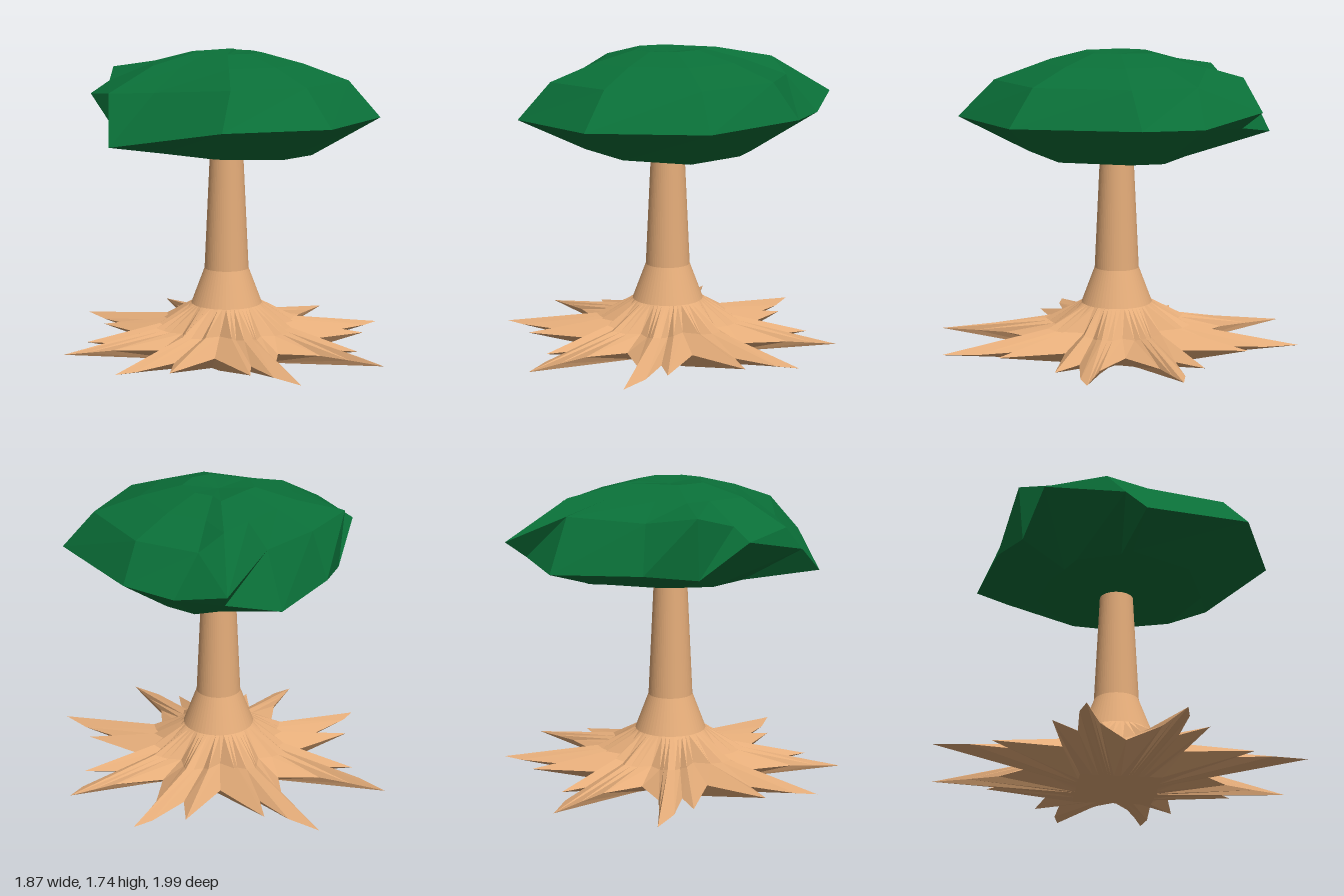
import * as THREE from 'three';

// Skins a stack of equal-length rings (bottom to top, anticlockwise from above), closing both ends to a point.
function loft(rings, bottom, top) {
  const pos = [];
  const tri = (...pts) => pts.forEach((p) => pos.push(...p));
  const n = rings[0].length;
  for (let i = 0; i < n; i++) {
    const j = (i + 1) % n;
    for (let r = 0; r + 1 < rings.length; r++) {
      const a = rings[r], b = rings[r + 1];
      tri(a[i], a[j], b[j]);
      tri(a[i], b[j], b[i]);
    }
    const first = rings[0], last = rings[rings.length - 1];
    tri(bottom, first[j], first[i]);
    tri(top, last[i], last[j]);
  }
  const geo = new THREE.BufferGeometry();
  geo.setAttribute('position', new THREE.Float32BufferAttribute(pos, 3));
  geo.computeVertexNormals();
  return geo;
}

function part(name, geo, color) {
  const mesh = new THREE.Mesh(geo, new THREE.MeshStandardMaterial({ color, flatShading: true }));
  mesh.name = name;
  return mesh;
}

function trunkGeometry() {
  // One quarter of the root outline: x, z, then radius and height where it meets the flare
  const quarter = [
    [0.46, 0, 0.31, 0.18],
    [0.68, 0.16, 0.36, 0.18],
    [0.82, 0.21, 0.39, 0.19],
    [0.935, 0.25, 0.42, 0.2],
    [0.82, 0.275, 0.39, 0.19],
    [0.56, 0.26, 0.34, 0.18],
    [0.69, 0.4, 0.38, 0.2],
    [0.33, 0.32, 0.29, 0.19],
    [0.38, 0.69, 0.38, 0.2],
    [0.27, 0.56, 0.34, 0.18],
    [0.31, 0.8, 0.39, 0.19],
    [0.29, 0.995, 0.42, 0.2],
    [0.225, 0.8, 0.39, 0.19],
    [0.16, 0.63, 0.36, 0.18],
    [0, 0.46, 0.31, 0.18],
  ];
  // Mirror the quarter into a full ring of sixteen roots
  const outline = [];
  for (const sx of [1, -1]) for (const sz of [1, -1]) {
    for (const [x, z, r, y] of quarter) {
      if ((x === 0 && sx < 0) || (z === 0 && sz < 0)) continue;
      outline.push({ x: x * sx, z: z * sz, r, y, a: Math.atan2(x * sx, z * sz) });
    }
  }
  outline.sort((p, q) => p.a - q.a);
  // Evenly spread angles for the trunk, and a halfway blend for the flare
  outline.forEach((p, i) => {
    p.even = -Math.PI + ((i + 1) * 2 * Math.PI) / outline.length;
    p.mid = (p.a + p.even) / 2;
  });

  const polar = (a, r, y) => [Math.sin(a) * r, y, Math.cos(a) * r];
  const circle = (r, y) => outline.map((p) => polar(p.even, r, y));
  // Squarish foot under the roots
  const foot = outline.map(({ mid }) => {
    const side = Math.max(Math.abs(Math.sin(mid)), Math.abs(Math.cos(mid)));
    return polar(mid, Math.min(0.22 / side, 0.31), 0);
  });
  const tips = outline.map((p) => [p.x, 0.11, p.z]);
  const flare = outline.map((p) => polar(p.mid, p.r, p.y));
  return loft(
    [foot, tips, flare, circle(0.2, 0.32), circle(0.125, 0.52), circle(0.09, 1.25)],
    [0, 0, 0], [0, 1.25, 0]);
}

function canopyGeometry() {
  // Irregular widest rim and the shoulder above it
  const rim = [
    [0, 1.39, 0.88], [0.59, 1.39, 0.62], [0.775, 1.39, -0.05], [0.74, 1.39, -0.38],
    [0.6, 1.38, -0.6], [0.38, 1.335, -0.79], [-0.1, 1.34, -0.69], [-0.36, 1.31, -0.56],
    [-0.6, 1.51, -0.46], [-0.765, 1.41, -0.035], [-0.835, 1.28, 0.07], [-0.55, 1.39, 0.67],
  ];
  const shoulder = [
    [0, 1.59, 0.68], [0.47, 1.59, 0.49], [0.64, 1.59, -0.01], [0.55, 1.59, -0.37],
    [0.68, 1.47, -0.69], [0.34, 1.62, -0.65], [-0.08, 1.6, -0.6], [-0.36, 1.64, -0.59],
    [-0.5, 1.58, -0.42], [-0.7, 1.54, -0.13], [-0.57, 1.555, 0.11], [-0.41, 1.59, 0.56],
  ];
  // Underside rises a little towards the back
  const under = rim.map(([x, , z]) =>
    [x * 0.56, 1.19 - x * 0.03 + Math.max(0, -z - 0.4) * 0.12, z * 0.56]);
  const base = rim.map(([x, , z]) => [x * 0.15, 1.152, z * 0.15]);
  const upper = shoulder.map(([x, , z]) => [x * 0.63, 1.68, z * 0.63]);
  const crown = shoulder.map(([x, , z]) => [x * 0.29, 1.74, z * 0.29]);
  return loft([base, under, rim, shoulder, upper, crown], [0, 1.15, 0], [0, 1.72, 0]);
}

export function createModel() {
  const tree = new THREE.Group();
  tree.name = 'tree';
  tree.add(part('trunkAndRoots', trunkGeometry(), 0xe4ac79));
  tree.add(part('canopy', canopyGeometry(), 0x0a6f38));
  return tree;
}
